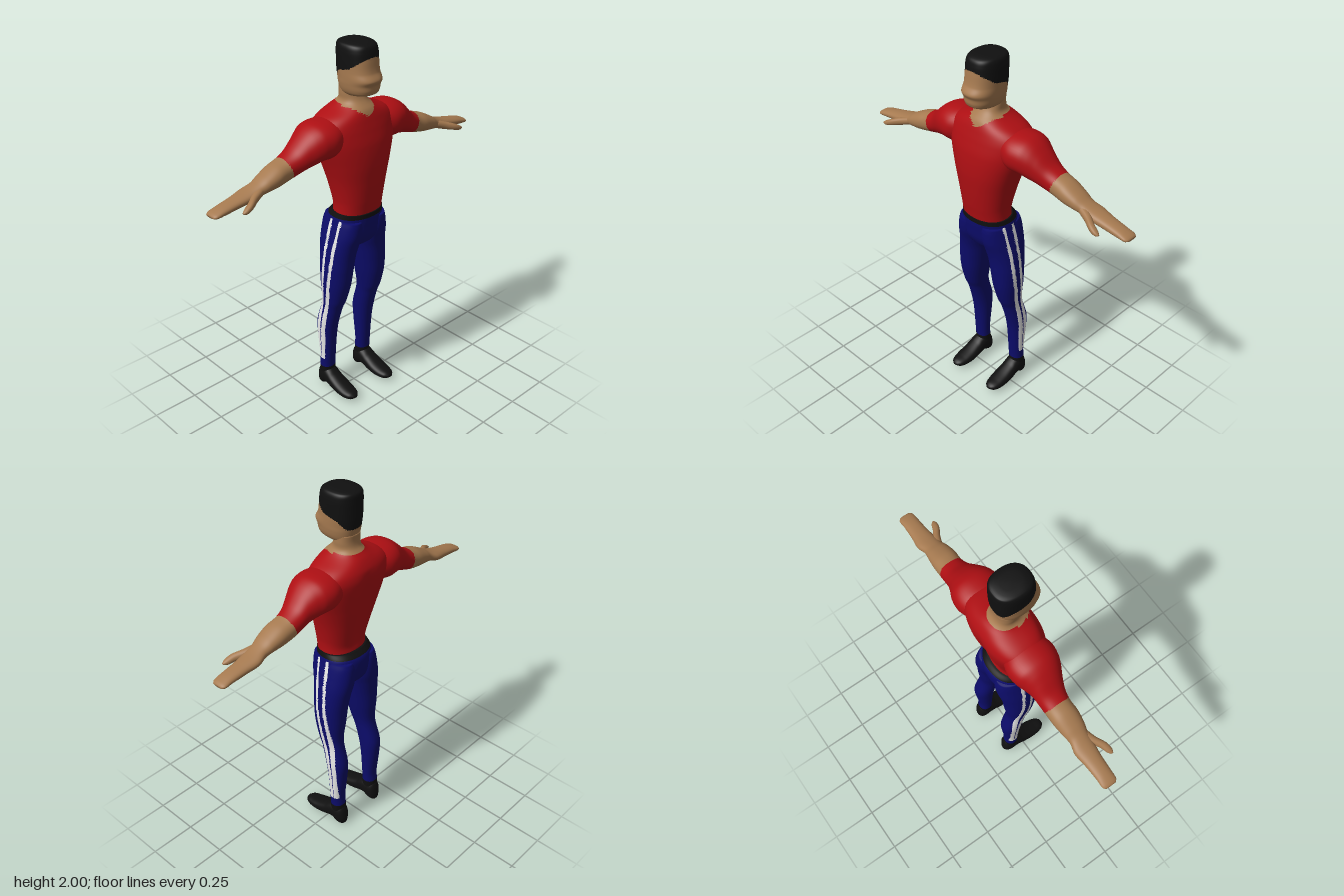
import * as THREE from 'three';

const mat = (name, color) => {
  const m = new THREE.MeshStandardMaterial({ color });
  m.name = name;
  return m;
};

// Smooth (Hermite) interpolation of key rows [t, ...values] at t
function sample(keys, t) {
  let i = 0;
  while (i < keys.length - 2 && t > keys[i + 1][0]) i++;
  const slope = (k, c) => {
    const p = keys[Math.max(k - 1, 0)], q = keys[Math.min(k + 1, keys.length - 1)];
    return (q[c] - p[c]) / (q[0] - p[0]);
  };
  const a = keys[i], b = keys[i + 1], d = b[0] - a[0], u = (t - a[0]) / d;
  const u2 = u * u, u3 = u2 * u;
  return [1, 2, 3, 4].map((c) =>
    (2 * u3 - 3 * u2 + 1) * a[c] + (u3 - 2 * u2 + u) * d * slope(i, c) +
    (3 * u2 - 2 * u3) * b[c] + (u3 - u2) * d * slope(i + 1, c));
}

// Piecewise linear lookup of rows [t, ...values], t falling
function lookup(rows, t, c) {
  for (let i = 0; i < rows.length - 1; i++) {
    const a = rows[i], b = rows[i + 1];
    if (t >= b[0]) return a[c] + (b[c] - a[c]) * Math.min(1, (a[0] - t) / (a[0] - b[0]));
  }
  return rows[rows.length - 1][c];
}

const place = {
  y: (t, a, b) => [a, t, b], // keys: y, x0, x1, z0, z1
  x: (t, a, b) => [t, b, a], // keys: x, z0, z1, y0, y1
  z: (t, a, b) => [b, a, t], // keys: z, y0, y1, x0, x1
};

// Closed skin through oval cross-sections; paint picks a material for each face
function loft(name, axis, keys, { rows = 60, sides = 64, power = 2.2, side = 1, bend, materials, paint }) {
  const pos = [], faces = materials.map(() => []);
  const t0 = keys[0][0], t1 = keys[keys.length - 1][0];
  const point = (t, a, b) => {
    const p = place[axis](t, a, b);
    if (bend) bend(p);
    pos.push(p[0] * side, p[1], p[2]);
  };
  const round = (v) => Math.sign(v) * Math.abs(v) ** (2 / power);
  for (let r = 0; r <= rows; r++) {
    const t = t0 + (t1 - t0) * r / rows, [a0, a1, b0, b1] = sample(keys, t);
    for (let s = 0; s < sides; s++) {
      const w = s / sides * Math.PI * 2;
      point(t, (a0 + a1) / 2 + (a1 - a0) / 2 * round(Math.cos(w)), (b0 + b1) / 2 + (b1 - b0) / 2 * round(Math.sin(w)));
    }
  }
  for (const k of [keys[0], keys[keys.length - 1]]) point(k[0], (k[1] + k[2]) / 2, (k[3] + k[4]) / 2);
  const tri = (i, j, k) => {
    const c = [0, 1, 2].map((n) => (pos[i * 3 + n] + pos[j * 3 + n] + pos[k * 3 + n]) / 3);
    faces[paint ? paint(Math.abs(c[0]), c[1], c[2]) : 0].push(...(side > 0 ? [i, j, k] : [i, k, j]));
  };
  const first = (rows + 1) * sides;
  for (let s = 0; s < sides; s++) {
    const n = (s + 1) % sides, top = rows * sides;
    for (let r = 0; r < rows; r++) {
      const i = r * sides + s, j = r * sides + n;
      tri(i, i + sides, j);
      tri(j, i + sides, j + sides);
    }
    tri(first, s, n);
    tri(first + 1, top + n, top + s);
  }
  const g = new THREE.BufferGeometry();
  g.setAttribute('position', new THREE.Float32BufferAttribute(pos, 3));
  g.setIndex(faces.flat());
  let start = 0;
  faces.forEach((f, m) => {
    if (f.length) g.addGroup(start, f.length, m);
    start += f.length;
  });
  g.computeVertexNormals();
  const mesh = new THREE.Mesh(g, materials);
  mesh.name = name;
  return mesh;
}

export function createModel() {
  const skin = mat('skin', 0xa67a50), red = mat('shirt red', 0xae0f13), navy = mat('trouser navy', 0x0c0c6a);
  const black = mat('black', 0x101010), white = mat('stripe white', 0xe8e8e8);
  const model = new THREE.Group();
  model.name = 'standingMan';

  // Head with a cap of short hair
  const hairline = [[0.135, 1.94], [0.115, 1.92], [0.06, 1.88], [-0.02, 1.86], [-0.06, 1.815], [-0.09, 1.81]];
  model.add(loft('head', 'y', [
    [1.735, -0.05, 0.05, -0.05, 0.06], [1.75, -0.068, 0.068, -0.06, 0.125], [1.77, -0.078, 0.078, -0.066, 0.143],
    [1.80, -0.084, 0.084, -0.072, 0.148], [1.825, -0.086, 0.086, -0.076, 0.159], [1.86, -0.087, 0.087, -0.079, 0.14],
    [1.92, -0.088, 0.088, -0.08, 0.13], [1.96, -0.087, 0.087, -0.08, 0.125], [1.985, -0.081, 0.081, -0.077, 0.115],
    [1.995, -0.068, 0.068, -0.063, 0.095], [2.0, -0.04, 0.04, -0.03, 0.07],
  ], { rows: 80, power: 2.4, materials: [skin, black], paint: (x, y, z) => (y > lookup(hairline, z, 1) ? 1 : 0) }));

  // Shirt body and neck, with a V collar and a groove down the spine
  const collar = (x, z) => (z > 0 ? Math.min(1.635 + 0.65 * x, 1.685) : 1.69);
  model.add(loft('torsoAndNeck', 'y', [
    [1.115, -0.132, 0.132, -0.08, 0.128], [1.16, -0.132, 0.132, -0.077, 0.134], [1.2, -0.136, 0.136, -0.085, 0.14],
    [1.3, -0.157, 0.157, -0.11, 0.15], [1.4, -0.187, 0.187, -0.133, 0.155], [1.5, -0.222, 0.222, -0.15, 0.147],
    [1.57, -0.238, 0.238, -0.156, 0.13], [1.61, -0.225, 0.225, -0.15, 0.118], [1.64, -0.185, 0.185, -0.137, 0.108],
    [1.67, -0.115, 0.115, -0.116, 0.094], [1.69, -0.08, 0.08, -0.094, 0.075], [1.71, -0.067, 0.067, -0.076, 0.058],
    [1.74, -0.067, 0.067, -0.068, 0.045], [1.78, -0.067, 0.067, -0.068, 0.045],
  ], {
    rows: 90, power: 2.25, materials: [red, skin],
    bend: (p) => {
      const h = Math.max(0, 1 - ((p[1] - 1.38) / 0.24) ** 2);
      if (p[2] < 0) p[2] += 0.02 * h * Math.exp(-((p[0] / 0.035) ** 2));
    },
    paint: (x, y, z) => (y > collar(x, z) ? 1 : 0),
  }));

  // Side stripes: height, front stripe z, back stripe z, half width
  const stripes = [[1.09, 0.05, -0.01, 0.009], [0.8, 0.022, -0.028, 0.01], [0.6, -0.01, -0.055, 0.012],
    [0.5, -0.035, -0.073, 0.014], [0.4, -0.052, -0.085, 0.014], [0.2, -0.062, -0.09, 0.012]];
  const striped = (x, y, z) => x > 0.132 && y > 0.2 && y < 1.09 &&
    [1, 2].some((c) => Math.abs(z - lookup(stripes, y, c)) < lookup(stripes, y, 3));

  // Hips and belt
  model.add(loft('hipsAndBelt', 'y', [
    [0.915, -0.04, 0.04, -0.06, 0.05], [0.935, -0.1, 0.1, -0.085, 0.085], [0.96, -0.15, 0.15, -0.105, 0.105],
    [1.0, -0.164, 0.164, -0.117, 0.122], [1.06, -0.152, 0.152, -0.122, 0.13], [1.1, -0.144, 0.144, -0.115, 0.133],
    [1.13, -0.136, 0.136, -0.086, 0.133],
  ], {
    rows: 50, sides: 128, materials: [navy, black, white],
    paint: (x, y, z) => (y > 1.103 ? 1 : striped(x, y, z) ? 2 : 0),
  }));

  for (const side of [1, -1]) {
    const label = side > 0 ? 'left' : 'right';

    // Sleeve, forearm and flat hand
    model.add(loft(label + 'Arm', 'x', [
      [0.13, -0.12, 0.09, 1.47, 1.64], [0.2, -0.14, 0.112, 1.452, 1.643], [0.26, -0.133, 0.105, 1.45, 1.637],
      [0.3, -0.115, 0.09, 1.44, 1.618], [0.34, -0.1, 0.07, 1.428, 1.585], [0.39, -0.093, 0.05, 1.41, 1.537],
      [0.44, -0.09, 0.042, 1.396, 1.51], [0.5, -0.087, 0.045, 1.386, 1.49], [0.56, -0.078, 0.038, 1.38, 1.46],
      [0.6, -0.072, 0.028, 1.373, 1.437], [0.65, -0.082, 0.025, 1.36, 1.417], [0.72, -0.073, 0.018, 1.35, 1.4],
      [0.8, -0.067, 0.015, 1.342, 1.383], [0.845, -0.066, 0.012, 1.341, 1.368], [0.858, -0.055, 0.0, 1.347, 1.36],
    ], {
      rows: 120, sides: 48, side, materials: [red, skin],
      paint: (x, y) => (x - 0.3 * (y - 1.455) > 0.425 ? 1 : 0),
    }));
    model.add(loft(label + 'Thumb', 'x', [
      [0.58, -0.03, 0.025, 1.385, 1.43], [0.64, 0.0, 0.047, 1.368, 1.412], [0.69, 0.035, 0.074, 1.358, 1.395],
      [0.725, 0.05, 0.08, 1.352, 1.378], [0.742, 0.062, 0.074, 1.358, 1.366],
    ], { rows: 20, sides: 20, side, materials: [skin] }));

    // Trouser leg with side stripes and a dark ankle
    model.add(loft(label + 'Leg', 'y', [
      [0.08, 0.092, 0.174, -0.112, -0.03], [0.14, 0.091, 0.175, -0.11, -0.033], [0.2, 0.09, 0.176, -0.106, -0.03],
      [0.35, 0.083, 0.182, -0.121, -0.018], [0.44, 0.079, 0.185, -0.124, -0.002], [0.55, 0.075, 0.181, -0.093, 0.03],
      [0.6, 0.068, 0.184, -0.086, 0.052], [0.7, 0.05, 0.193, -0.094, 0.077], [0.8, 0.035, 0.195, -0.1, 0.087],
      [0.88, 0.022, 0.188, -0.11, 0.094], [0.94, 0.008, 0.179, -0.12, 0.106], [1.0, 0.002, 0.166, -0.124, 0.123],
      [1.06, 0.004, 0.152, -0.12, 0.128], [1.09, 0.01, 0.143, -0.11, 0.125],
    ], {
      rows: 110, sides: 100, side, materials: [navy, black, white],
      paint: (x, y, z) => (y < 0.145 ? 1 : striped(x, y, z) ? 2 : 0),
    }));

    // Shoe with a coloured sole
    model.add(loft(label + 'Shoe', 'z', [
      [-0.126, 0.015, 0.07, 0.118, 0.148], [-0.115, 0.002, 0.115, 0.1, 0.165], [-0.09, 0.004, 0.135, 0.09, 0.176],
      [-0.055, 0.024, 0.137, 0.087, 0.179], [-0.025, 0.024, 0.122, 0.087, 0.181], [0.0, 0.018, 0.105, 0.086, 0.183],
      [0.05, 0.012, 0.082, 0.084, 0.185], [0.1, 0.012, 0.066, 0.089, 0.182], [0.14, 0.018, 0.056, 0.102, 0.17],
      [0.158, 0.03, 0.044, 0.122, 0.15],
    ], {
      rows: 50, sides: 48, side, materials: [black, navy],
      paint: (x, y, z) => (y < 0.021 && z > -0.06 ? 1 : 0),
    }));
  }
  return model;
}
